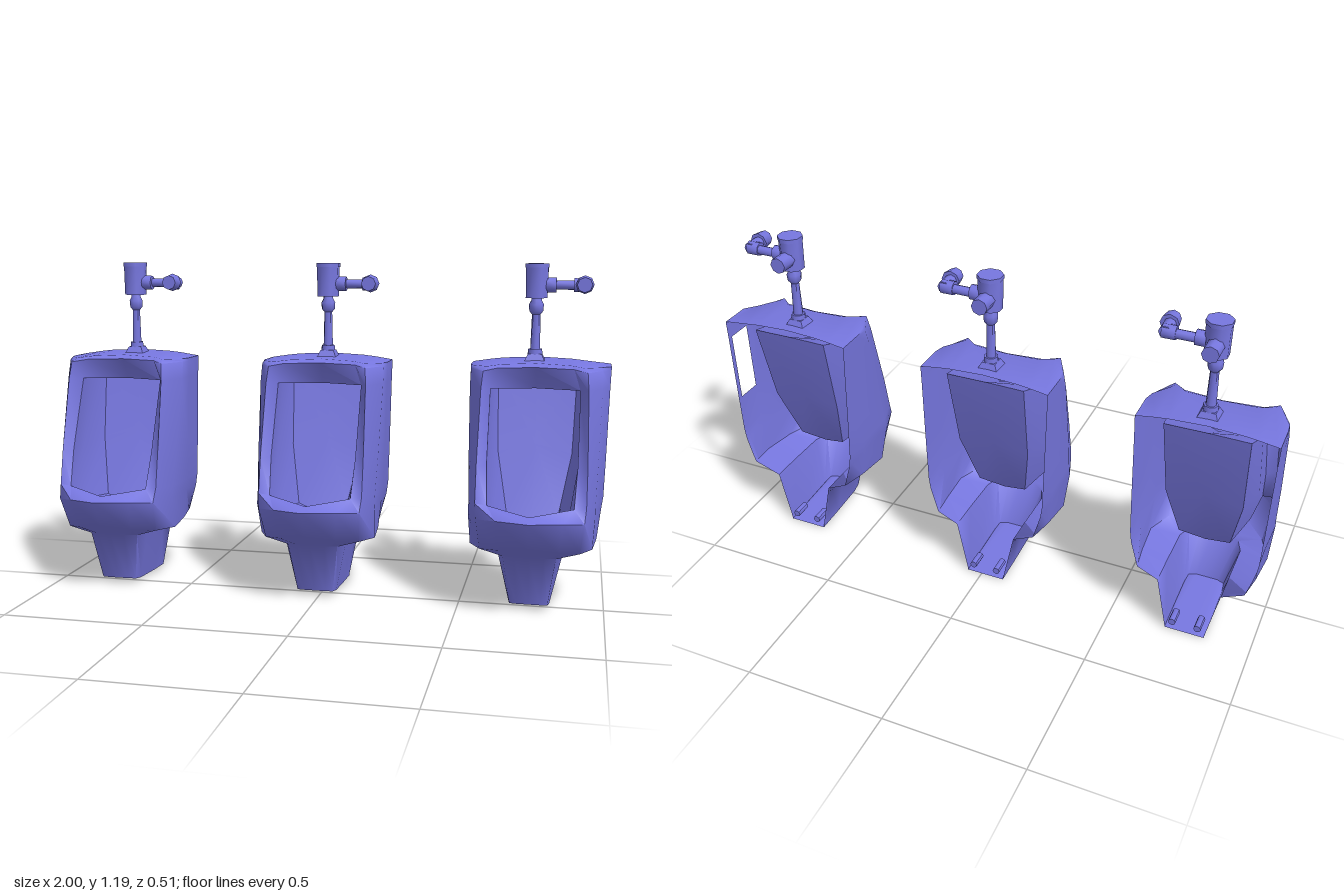
import * as THREE from 'three';
import { toCreasedNormals } from 'three/addons/utils/BufferGeometryUtils.js';

const glaze = new THREE.MeshStandardMaterial({ color: 0x7777e0, side: THREE.DoubleSide });
glaze.name = 'periwinkle';

// Surface through rows of points; skip(row, column) leaves cells open
function loft(rows, closed, skip = () => false) {
  const n = rows[0].length, index = [];
  for (let r = 0; r < rows.length - 1; r++) {
    for (let c = 0; c < (closed ? n : n - 1); c++) {
      if (skip(r, c)) continue;
      const a = r * n + c, b = r * n + (c + 1) % n;
      index.push(a, b + n, b, a, a + n, b + n);
    }
  }
  const g = new THREE.BufferGeometry();
  g.setAttribute('position', new THREE.Float32BufferAttribute(rows.flat(2), 3));
  g.setIndex(index);
  return toCreasedNormals(g, 1.0);
}

const mirror = ([x, y, z]) => [-x, y, z];

// Half section from the wall (+x) round to the front centre
const section = (w, y, ...front) =>
  [[w, y, -0.24], [w, y, -0.22], [w, y, -0.13], ...front];

const foot = section(0.07, 0.004, [0.07, 0.012, 0], [0.065, 0.018, 0.04], [0.04, 0.02, 0.05], [0, 0.02, 0.05]);
const neck = section(0.11, 0.2, [0.11, 0.195, 0.03], [0.09, 0.195, 0.08], [0.05, 0.2, 0.105], [0, 0.2, 0.115]);
const belly = [[0.185, 0.235, -0.24], [0.188, 0.232, -0.22], [0.2, 0.222, -0.13],
  [0.21, 0.215, 0], [0.17, 0.22, 0.09], [0.1, 0.235, 0.16], [0, 0.25, 0.2]];
const lip = section(0.212, 0.33, [0.215, 0.33, 0.04], [0.18, 0.335, 0.145], [0.11, 0.345, 0.205], [0, 0.35, 0.257]);
const sill = section(0.218, 0.375, [0.215, 0.375, 0.03], [0.185, 0.385, 0.125], [0.145, 0.38, 0.125], [0, 0.36, 0.19]);
const jamb = section(0.222, 0.51, [0.22, 0.51, 0], [0.185, 0.51, 0.098], [0.152, 0.51, 0.075], [0, 0.51, 0.075]);
const head = section(0.228, 0.765, [0.226, 0.765, -0.06], [0.18, 0.765, 0.035], [0.152, 0.76, -0.03], [0, 0.757, -0.1]);
const brow = section(0.23, 0.825, [0.225, 0.825, -0.08], [0.175, 0.825, 0.018], [0.13, 0.832, -0.025], [0, 0.835, -0.042]);
const crown = section(0.23, 0.835, [0.22, 0.835, -0.09], [0.165, 0.838, -0.02], [0.12, 0.843, -0.05], [0, 0.848, -0.065]);
const floorEdge = foot.map(([x]) => [x, 0, -0.24]);
const topEdge = crown.map(([x]) => [x, 0.856 - 0.4 * x * x, -0.24]);
const half = [floorEdge, foot, neck, belly, lip, sill, jamb, head, brow, crown, topEdge];

function bodyGeometry(damaged) {
  const rows = half.map(row => [...row, ...row.slice(0, -1).reverse().map(mirror)]
    // the damaged one bulges on its left side
    .map(([x, y, z]) => [damaged && x > 0.18 && z < -0.1 ? x + 0.025 : x, y, z]));
  return loft(rows, false, (r, c) => {
    const opening = (r === 5 || r === 6) && (c === 5 || c === 6);
    const sideHole = damaged && r === 6 && c === 1;
    return opening || sideHole;
  });
}

// Bowl: rings from the front opening back to a closed rear wall
function basinGeometry() {
  const ring = p => [p[0], p[1], p[2], p[3], mirror(p[2]), mirror(p[1]), mirror(p[0]), p[4]];
  const rear = [0, 0.55, -0.17];
  return loft([
    ring([head[5], jamb[5], sill[5], sill[6], head[6]]),
    ring([[0.155, 0.785, -0.12], [0.152, 0.5, -0.01], [0.125, 0.32, 0.06], [0, 0.29, 0.11], [0, 0.785, -0.16]]),
    ring([[0.14, 0.82, -0.225], [0.13, 0.52, -0.16], [0.09, 0.31, -0.085], [0, 0.28, -0.06], [0, 0.825, -0.23]]),
    Array(8).fill(rear),
  ], true);
}

function add(group, name, geometry, x = 0, y = 0, z = 0) {
  const mesh = new THREE.Mesh(geometry, glaze);
  mesh.name = name;
  mesh.position.set(x, y, z);
  group.add(mesh);
  return mesh;
}

const tube = (top, bottom, height, sides = 8) =>
  toCreasedNormals(new THREE.CylinderGeometry(top, bottom, height, sides), 0.9);

// Flush pipe, valve and handle
function flushValve() {
  const g = new THREE.Group();
  g.name = 'flushValve';
  g.position.z = -0.165;
  const flange = add(g, 'pipeFlange', tube(0.034, 0.05, 0.025, 4), 0, 0.86);
  flange.rotation.y = Math.PI / 4;
  add(g, 'pipeSocket', tube(0.024, 0.026, 0.02), 0, 0.88);
  add(g, 'flushPipe', tube(0.014, 0.018, 0.17), 0, 0.945);
  const nut = [[0.014, 1.01], [0.024, 1.022], [0.026, 1.045], [0.018, 1.06], [0.018, 1.075]];
  add(g, 'pipeNut', new THREE.LatheGeometry(nut.map(p => new THREE.Vector2(...p)), 8));
  add(g, 'valveBody', tube(0.042, 0.04, 0.108), 0, 1.122).rotation.y = Math.PI / 8;
  add(g, 'valveCap', tube(0.044, 0.044, 0.014), 0, 1.181).rotation.y = Math.PI / 8;
  add(g, 'rearStub', tube(0.028, 0.028, 0.07), 0, 1.112, -0.055).rotation.x = Math.PI / 2;
  add(g, 'valveCollar', tube(0.026, 0.026, 0.035), 0.05, 1.113).rotation.z = Math.PI / 2;
  add(g, 'handleArm', tube(0.016, 0.016, 0.12), 0.1, 1.113, -0.005).rotation.z = Math.PI / 2;
  add(g, 'handleHub', tube(0.024, 0.024, 0.045), 0.15, 1.113, 0).rotation.z = Math.PI / 2;
  add(g, 'handleStem', tube(0.021, 0.021, 0.07), 0.162, 1.115, 0.02).rotation.x = Math.PI / 2;
  add(g, 'handleGrip', tube(0.026, 0.032, 0.045), 0.164, 1.116, 0.065).rotation.x = Math.PI / 2;
  return g;
}

function urinal(damaged, valveX) {
  const g = new THREE.Group();
  g.name = 'urinal';
  add(g, 'body', bodyGeometry(damaged));
  add(g, 'basin', basinGeometry());
  for (const side of [-1, 1]) {
    add(g, 'mountingBolt', tube(0.013, 0.013, 0.06), side * 0.045, 0.035, -0.215).rotation.x = Math.PI / 2;
  }
  const valve = flushValve();
  valve.position.x = valveX;
  g.add(valve);
  return g;
}

export function createModel() {
  const model = new THREE.Group();
  model.name = 'urinalRow';
  // position of each fixture and the small offset of its valve
  [[-0.77, 0.011], [-0.015, 0.003], [0.745, -0.009]].forEach(([x, valveX], i) => {
    const u = urinal(i === 2, valveX);
    u.position.x = x;
    model.add(u);
  });
  return model;
}
